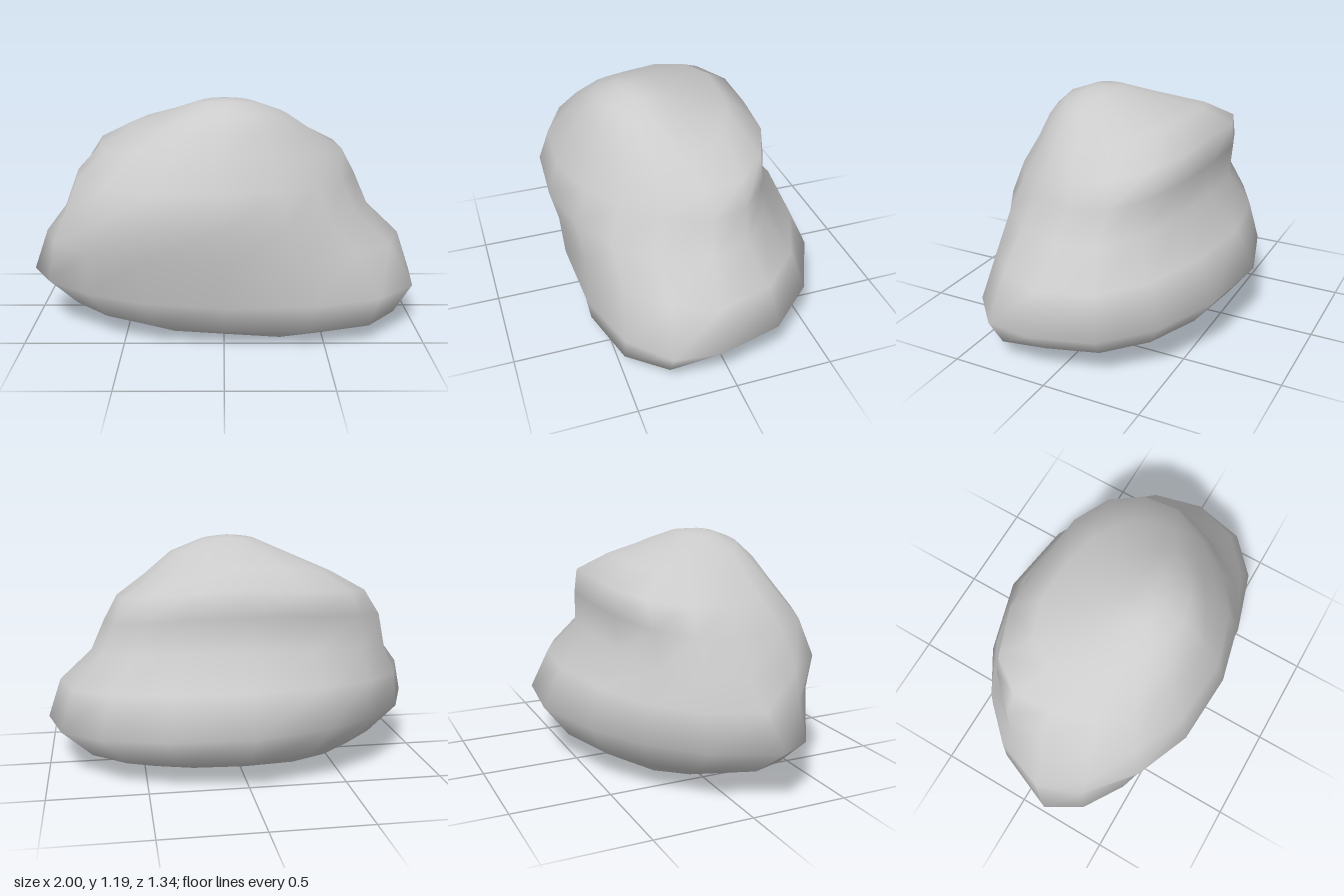
import * as THREE from 'three';

// Each ring, bottom to top, by its extreme points (right is -x, left is +x), and
// how full its corners are: front left, front right, back right, back left
const RINGS = [
  { right: [-0.60, 0.06, 0.08], left: [0.62, 0.03, 0.06], front: [0.43, 0.02], back: [-0.36, 0.06], corners: [1.12, 1, 1.02, 1] },
  { right: [-0.83, 0.14, 0.11], left: [0.84, 0.09, 0.08], front: [0.55, 0.09], back: [-0.54, 0.14], corners: [1.18, 0.97, 0.90, 0.98] },
  { right: [-1.00, 0.28, 0.16], left: [1.00, 0.24, 0.08], front: [0.61, 0.23], back: [-0.67, 0.31], corners: [1.06, 0.94, 0.90, 0.99] },
  { right: [-0.94, 0.47, 0.09], left: [0.93, 0.45, 0.06], front: [0.63, 0.46], back: [-0.57, 0.51], corners: [0.97, 0.98, 0.95, 0.99] },
  { right: [-0.84, 0.60, 0.06], left: [0.76, 0.61, 0.05], front: [0.67, 0.63], back: [-0.41, 0.68], corners: [0.93, 1.05, 1.02, 1] },
  { right: [-0.77, 0.79, 0.03], left: [0.69, 0.77, 0.03], front: [0.62, 0.80], back: [-0.42, 0.85], corners: [0.90, 1.04, 1.06, 1] },
  { right: [-0.65, 0.92, 0.04], left: [0.62, 0.90, 0.04], front: [0.53, 0.95], back: [-0.40, 0.98], corners: [0.88, 0.99, 1.14, 1.04] },
  { right: [-0.49, 1.01, 0.10], left: [0.47, 1.00, 0.10], front: [0.48, 1.06], back: [-0.26, 1.07], corners: [0.88, 0.93, 1.15, 0.96] },
  { right: [-0.30, 1.10, 0.18], left: [0.32, 1.11, 0.18], front: [0.39, 1.14], back: [-0.02, 1.14], corners: [0.88, 0.96, 1.06, 0.96] },
  { right: [-0.14, 1.17, 0.20], left: [0.16, 1.17, 0.20], front: [0.28, 1.18], back: [0.10, 1.18], corners: [0.9, 1, 1, 1] },
];
const SIDES = 16;

// Slightly squared ellipse through the four extremes of a ring
function ringPoint({ right, left, front, back, corners }, level, j) {
  const a = (j / SIDES) * Math.PI * 2;
  const c = Math.cos(a), s = Math.sin(a);
  const side = c > 0 ? left : right;
  const end = s > 0 ? front : back;
  const quadrant = Math.floor((4 * j) / SIDES);
  const corner = Math.abs(Math.sin(2 * a));
  const fullness = 1 + (corners[quadrant] - 1) * corner;
  const x = side[0] * Math.abs(c) ** 0.9 * fullness;
  const z = side[2] + (end[0] - side[2]) * Math.abs(s) ** 0.9 * fullness;
  // the front-left corner of the rim dips to the ground
  const dip = level === 0 && quadrant === 0 ? 0.025 * corner : 0;
  const y = side[1] * c * c + end[1] * s * s - dip;
  return [x, y, z];
}

function rockGeometry() {
  const positions = [], index = [];
  RINGS.forEach((ring, i) => {
    for (let j = 0; j < SIDES; j++) positions.push(...ringPoint(ring, i, j));
  });
  // summit
  positions.push(0.01, 1.19, 0.21);
  const top = RINGS.length * SIDES;

  for (let i = 0; i < RINGS.length; i++) {
    for (let j = 0; j < SIDES; j++) {
      const a = i * SIDES + j, b = i * SIDES + ((j + 1) % SIDES);
      if (i === RINGS.length - 1) index.push(a, top, b);
      else index.push(a, a + SIDES, b, b, a + SIDES, b + SIDES);
    }
  }
  const geometry = new THREE.BufferGeometry();
  geometry.setAttribute('position', new THREE.Float32BufferAttribute(positions, 3));
  geometry.setIndex(index);
  geometry.computeVertexNormals();
  return geometry;
}

export function createModel() {
  const group = new THREE.Group();
  group.name = 'boulder';
  // Open underneath, so both faces show
  const material = new THREE.MeshStandardMaterial({ color: 0xcccccc, side: THREE.DoubleSide });
  const rock = new THREE.Mesh(rockGeometry(), material);
  rock.name = 'rockShell';
  group.add(rock);
  return group;
}
